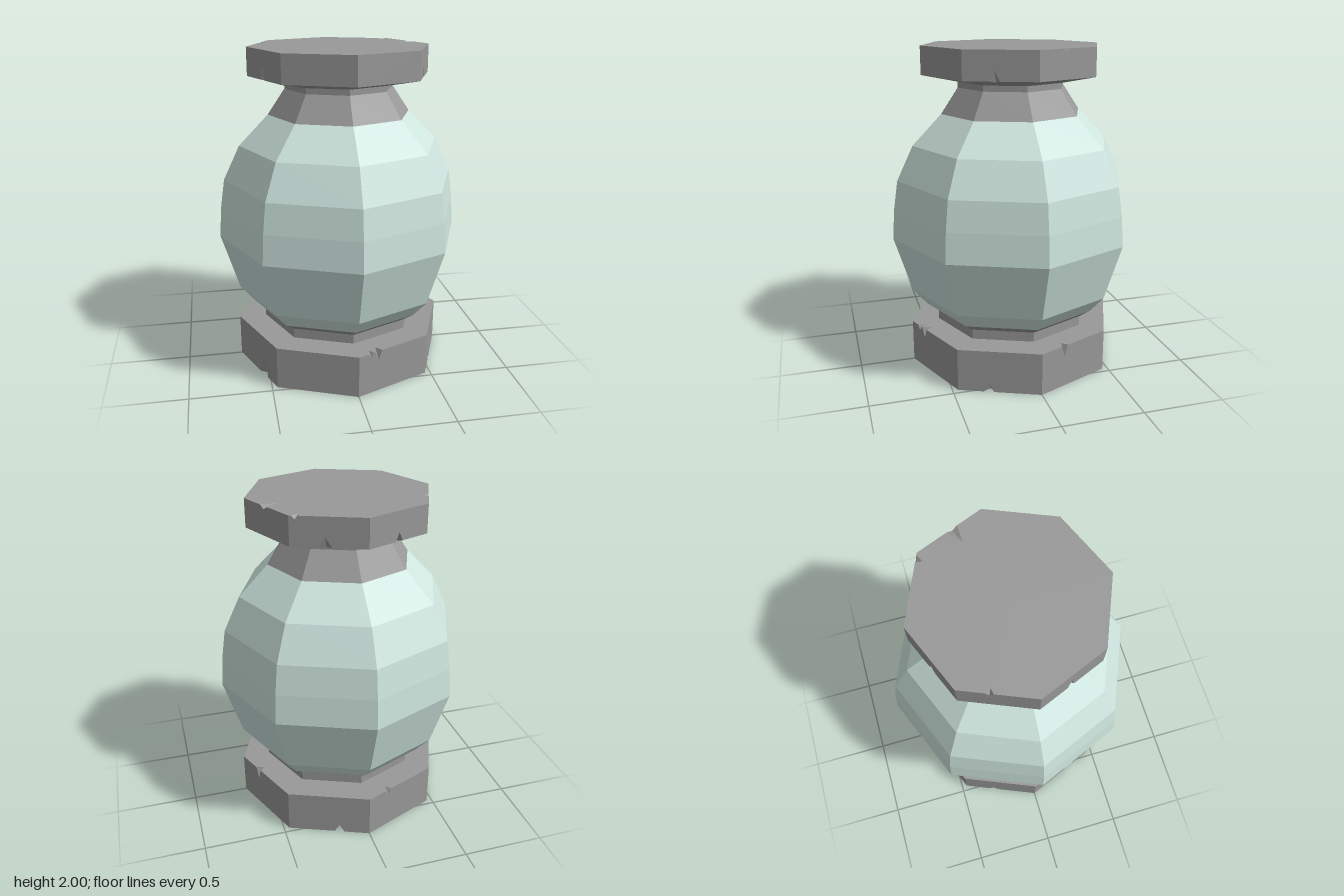
import * as THREE from 'three';

const SIDES = 8;
const stone = new THREE.MeshStandardMaterial({ color: 0x999999, flatShading: true });
const glass = new THREE.MeshStandardMaterial({ color: 0xcfe6df, flatShading: true });

// Octagon corner with a corner facing the front
function corner(i, r, y) {
  const a = (i / SIDES) * Math.PI * 2;
  return new THREE.Vector3(Math.sin(a) * r, y, Math.cos(a) * r);
}

// Eight-sided turned band from [radius, height] pairs
function band(name, profile, material) {
  const points = profile.map(([r, y]) => new THREE.Vector2(r, y));
  const geo = new THREE.LatheGeometry(points, SIDES).toNonIndexed();
  geo.computeVertexNormals();
  const mesh = new THREE.Mesh(geo, material);
  mesh.name = name;
  return mesh;
}

// Triangulate a flat polygon whose corners run anticlockwise seen from outside
function addPanel(out, poly) {
  const n = new THREE.Vector3();
  poly.forEach((p, i) => n.add(p.clone().cross(poly[(i + 1) % poly.length])));
  n.normalize();
  const u = poly[1].clone().sub(poly[0]).normalize();
  const v = n.clone().cross(u);
  const flat = poly.map((p) => new THREE.Vector2(p.dot(u), p.dot(v)));
  for (const tri of THREE.ShapeUtils.triangulateShape(flat, [])) {
    for (const k of tri) out.push(...poly[k].toArray());
  }
}

// Octagonal slab with wedge-shaped chips broken out of its edges.
// bottom and top give the inner radius and height where each cap ends.
function chippedSlab(name, r, y0, y1, bottom, top, chips) {
  const out = [];
  for (let i = 0; i < SIDES; i++) {
    const rims = [[y0, bottom, false], [y1, top, true]].map(([y, cap, isTop]) => {
      const a = corner(i, r, y), b = corner(i + 1, r, y);
      const innerA = corner(i, cap.r, cap.y), innerB = corner(i + 1, cap.r, cap.y);
      const sideEdge = [a], capEdge = [a];
      for (const c of chips.filter((k) => k.side === i && k.top === isTop)) {
        const L = a.clone().lerp(b, c.at - c.width / 2);
        const R = a.clone().lerp(b, c.at + c.width / 2);
        const mid = a.clone().lerp(b, c.at);
        const down = mid.clone();
        down.y += isTop ? -c.height : c.height;
        const inner = innerA.clone().lerp(innerB, c.at);
        const back = mid.clone().lerp(inner, c.depth / mid.distanceTo(inner));
        sideEdge.push(L, down, R);
        capEdge.push(L, back, R);
        const dent = isTop ? [L, down, back, R, back, down] : [L, back, down, R, down, back];
        dent.forEach((p) => out.push(...p.toArray()));
      }
      sideEdge.push(b);
      capEdge.push(b);
      const capPoly = cap.r > 0 ? [...capEdge, innerB, innerA] : [...capEdge, innerA];
      addPanel(out, isTop ? capPoly : capPoly.reverse());
      return sideEdge;
    });
    addPanel(out, [...rims[0], ...rims[1].reverse()]);
  }
  const geo = new THREE.BufferGeometry();
  geo.setAttribute('position', new THREE.Float32BufferAttribute(out, 3));
  geo.computeVertexNormals();
  const mesh = new THREE.Mesh(geo, stone);
  mesh.name = name;
  return mesh;
}

const chip = (side, top, at, width, height, depth) => ({ side, top, at, width, height, depth });

export function createModel() {
  const model = new THREE.Group();
  model.name = 'jar';

  // Foot slab
  model.add(chippedSlab('base', 0.66, 0, 0.265, { r: 0, y: 0 }, { r: 0.49, y: 0.265 }, [
    chip(0, true, 0.17, 0.08, 0.03, 0.04),
    chip(0, true, 0.28, 0.1, 0.06, 0.05),
    chip(1, false, 0.37, 0.13, 0.06, 0.05),
    chip(2, true, 0.35, 0.1, 0.07, 0.04),
    chip(3, false, 0.63, 0.12, 0.05, 0.06),
    chip(4, true, 0.3, 0.1, 0.04, 0.04),
    chip(5, false, 0.4, 0.12, 0.05, 0.06),
    chip(6, false, 0.65, 0.2, 0.17, 0.03),
  ]));

  // Collar under the vessel
  model.add(band('lowerCollar', [[0.49, 0.265], [0.49, 0.325], [0.56, 0.375]], stone));

  // Bulging vessel
  model.add(band('vessel', [
    [0.56, 0.375], [0.65, 0.48], [0.76, 0.835], [0.747, 1.02],
    [0.72, 1.2], [0.62, 1.41], [0.44, 1.595],
  ], glass));

  // Neck
  model.add(band('neck', [[0.44, 1.595], [0.335, 1.75], [0.335, 1.785]], stone));

  // Lid slab with a sloped underside
  model.add(chippedSlab('lid', 0.555, 1.83, 2, { r: 0.335, y: 1.785 }, { r: 0, y: 2 }, [
    chip(1, false, 0.42, 0.14, 0.06, 0.05),
    chip(2, true, 0.46, 0.16, 0.02, 0.1),
    chip(3, true, 0.08, 0.1, 0.02, 0.04),
    chip(3, false, 0.45, 0.18, 0.06, 0.05),
    chip(4, false, 0.5, 0.12, 0.05, 0.07),
    chip(5, true, 0.4, 0.1, 0.03, 0.03),
    chip(6, false, 0.48, 0.1, 0.08, 0.04),
  ]));

  return model;
}
